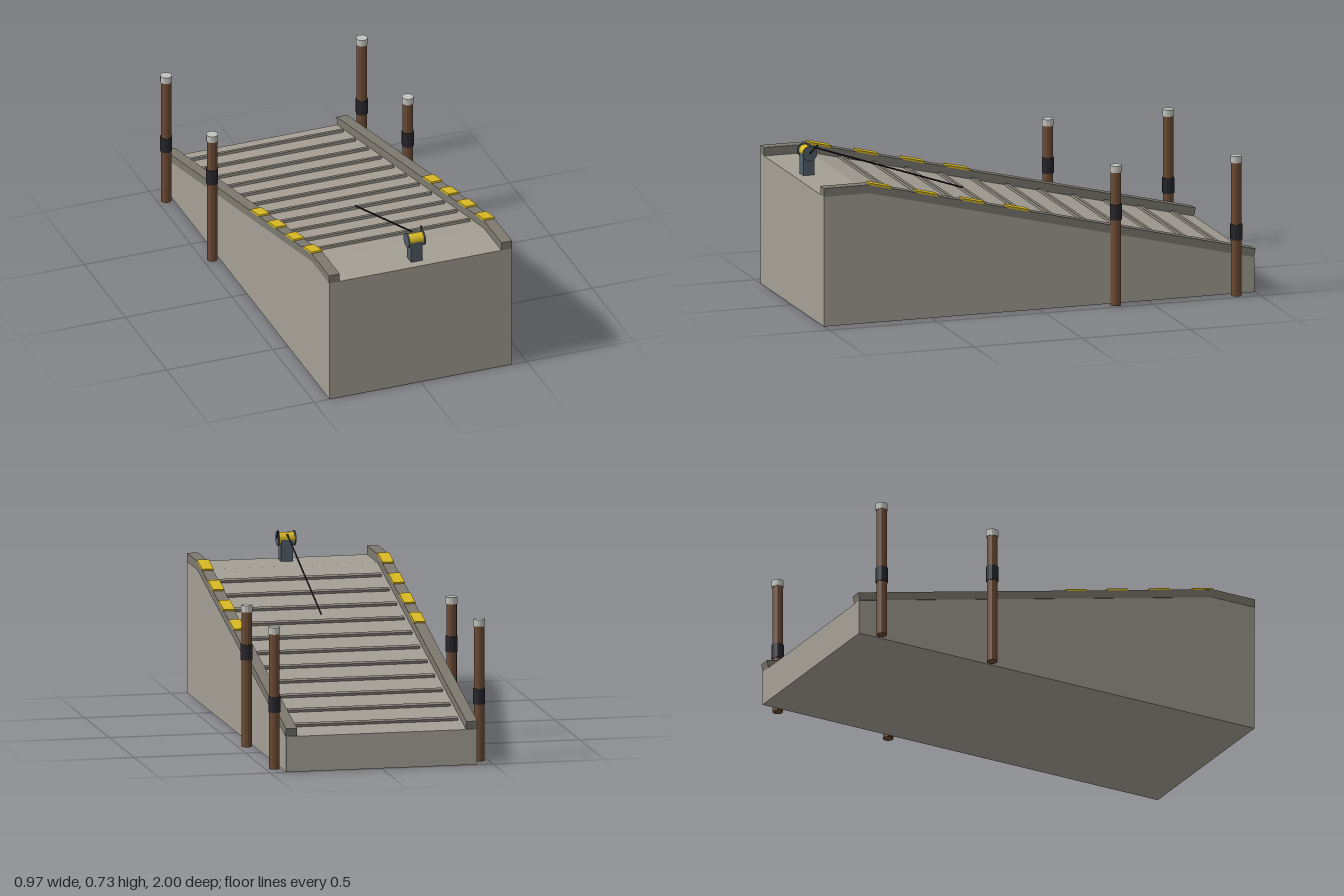
import * as THREE from 'three';

const mat = (name, color) => Object.assign(new THREE.MeshStandardMaterial({ color }), { name });

export function createModel() {
  const concrete = mat('concrete', 0xa59f95);
  const curbGrey = mat('curb grey', 0x7d796f);
  const cleatGrey = mat('cleat grey', 0x88837a);
  const yellow = mat('safety yellow', 0xd8b922);
  const wood = mat('timber brown', 0x6b4a33);
  const rubber = mat('black rubber', 0x25252c);
  const capGrey = mat('cap grey', 0xc2c2be);
  const steel = mat('winch steel', 0x525e69);
  const cable = mat('cable black', 0x1b1b20);
  for (const m of [wood, rubber, capGrey]) m.flatShading = true;

  const root = new THREE.Group();
  root.name = 'slipway';
  const add = (parent, name, geometry, material, x = 0, y = 0, z = 0) => {
    const mesh = new THREE.Mesh(geometry, material);
    mesh.name = name;
    mesh.position.set(x, y, z);
    parent.add(mesh);
    return mesh;
  };

  // Ramp surface: level to the crest, then a straight fall to the back
  const crest = 0.79, deck = 0.585, backZ = -0.995, backY = 0.158;
  const slope = (deck - backY) / (crest - backZ);
  const tilt = Math.atan(slope);
  const rampY = z => deck - Math.max(0, crest - z) * slope;

  // Extrudes a side profile of [z, y] points across the width
  const sideExtrude = (points, width) => {
    const shape = new THREE.Shape(points.map(([z, y]) => new THREE.Vector2(-z, y)));
    const g = new THREE.ExtrudeGeometry(shape, { depth: width, bevelEnabled: false });
    return g.translate(0, 0, -width / 2).rotateY(Math.PI / 2);
  };

  // Solid ramp body
  add(root, 'rampBody', sideExtrude(
    [[1, 0], [1, deck], [crest, deck], [backZ, backY], [backZ, 0]], 0.856), concrete);

  // Curbs with yellow hazard plates along the upper slope
  const curbH = 0.038;
  const curbProfile = [
    [1, deck], [1, deck + curbH], [crest, deck + curbH],
    [-1, rampY(-1) + curbH], [-0.992, rampY(-0.992)], [crest, deck],
  ];
  for (const s of [-1, 1]) {
    const side = s > 0 ? 'left' : 'right';
    add(root, side + 'Curb', sideExtrude(curbProfile, 0.05), curbGrey, s * 0.405);
    // Lower lip of the curb showing on the outer wall
    for (const z of [0.1, 0.306, 0.52, 0.738]) {
      const plate = add(root, side + 'HazardPlate', new THREE.BoxGeometry(0.051, 0.009, 0.105),
        yellow, s * 0.405, rampY(z) + curbH + 0.003, z);
      plate.rotation.x = -tilt;
    }
  }

  // Grip cleats across the slope
  for (let i = 0; i < 11; i++) {
    const z = -0.888 + i * 0.1538;
    const cleat = add(root, 'cleat', new THREE.BoxGeometry(0.73, 0.014, 0.022),
      cleatGrey, 0, rampY(z) + 0.004, z);
    cleat.rotation.x = -tilt;
  }

  // Mooring posts with a rubber band and a cap
  const tube = (r, h) => new THREE.CylinderGeometry(r, r, h, 12);
  for (const [z, bandY] of [[-0.9, 0.288], [-0.342, 0.422]]) {
    for (const s of [-1, 1]) {
      const post = new THREE.Group();
      post.name = 'mooringPost';
      post.position.set(s * 0.46, 0, z);
      add(post, 'postShaft', tube(0.0235, 0.602), wood, 0, 0.301);
      add(post, 'postBand', tube(0.027, 0.07), rubber, 0, bandY);
      add(post, 'postCap', tube(0.0265, 0.03), capGrey, 0, 0.616);
      root.add(post);
    }
  }

  // Winch on the level deck
  const winch = new THREE.Group();
  winch.name = 'winch';
  winch.position.set(0, deck, 0.931);
  root.add(winch);
  const axle = (r, w) => new THREE.CylinderGeometry(r, r, w, 14).rotateZ(Math.PI / 2);
  add(winch, 'winchPedestal', new THREE.BoxGeometry(0.054, 0.096, 0.052), steel, 0, 0.048);
  add(winch, 'winchDrum', axle(0.027, 0.074), yellow, 0, 0.1);
  for (const s of [-1, 1]) {
    add(winch, 'drumFlange', axle(0.034, 0.006), steel, s * 0.037, 0.1);
  }
  const crank = add(winch, 'winchCrank', new THREE.BoxGeometry(0.006, 0.052, 0.006),
    cable, 0.042, 0.12, -0.018);
  crank.rotation.x = -Math.PI / 4;

  // Taut cable running down over the slope
  const line = new THREE.LineCurve3(
    new THREE.Vector3(0, 0.705, 0.905), new THREE.Vector3(0, 0.468, 0.21));
  add(root, 'winchCable', new THREE.TubeGeometry(line, 1, 0.004, 6), cable);

  return root;
}
